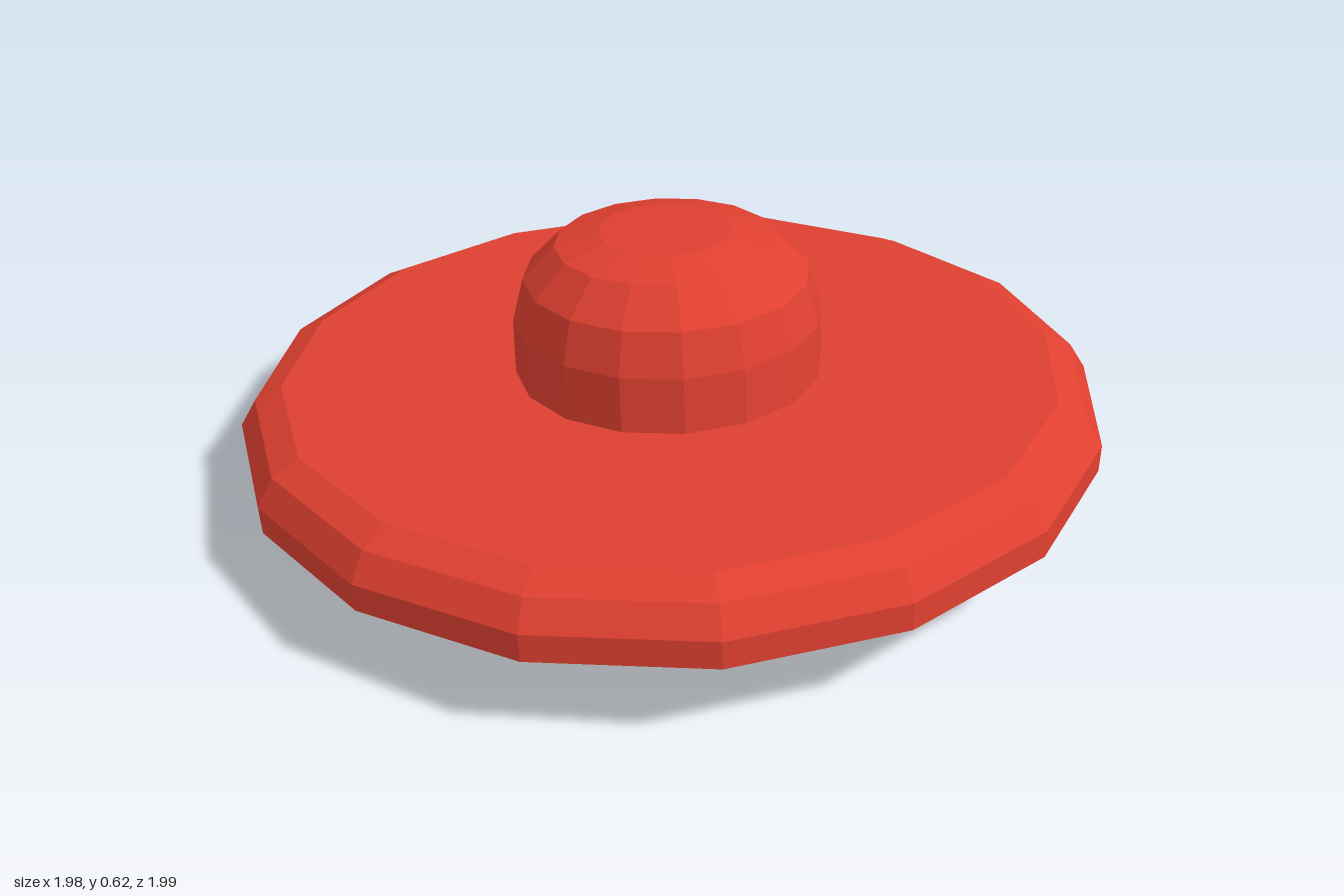
import * as THREE from 'three';

const SIDES = 16;

// Closed faceted solid turned from a [radius, height] profile, bottom to top
function turned(name, profile, material) {
  const points = profile.map(([r, y]) => new THREE.Vector2(r, y));
  const mesh = new THREE.Mesh(new THREE.LatheGeometry(points, SIDES), material);
  mesh.name = name;
  return mesh;
}

export function createModel() {
  const model = new THREE.Group();
  model.name = 'domedDisc';
  const red = new THREE.MeshStandardMaterial({ color: 0xe04030, flatShading: true });

  // Wide disc with a flat underside and a rounded upper rim
  const disc = turned('disc', [
    [0, 0], [1.007, 0], [1.01, 0.065], [0.972, 0.127], [0.908, 0.158], [0, 0.158],
  ], red);

  // Dome with a flat crown, sunk slightly into the disc
  const dome = turned('dome', [
    [0, 0.14], [0.362, 0.14], [0.36, 0.29], [0.333, 0.39], [0.257, 0.467], [0.155, 0.494], [0, 0.495],
  ], red);

  // The whole piece leans, higher towards +x and slightly towards +z
  const body = new THREE.Group();
  body.name = 'tiltedBody';
  body.add(disc, dome);
  const up = new THREE.Vector3(0, 1, 0);
  const normal = new THREE.Vector3(-0.1, 1, -0.045).normalize();
  const spin = new THREE.Quaternion().setFromAxisAngle(up, THREE.MathUtils.degToRad(12.4));
  body.quaternion.setFromUnitVectors(up, normal).multiply(spin);
  body.position.y = 0.11;
  model.add(body);
  return model;
}
